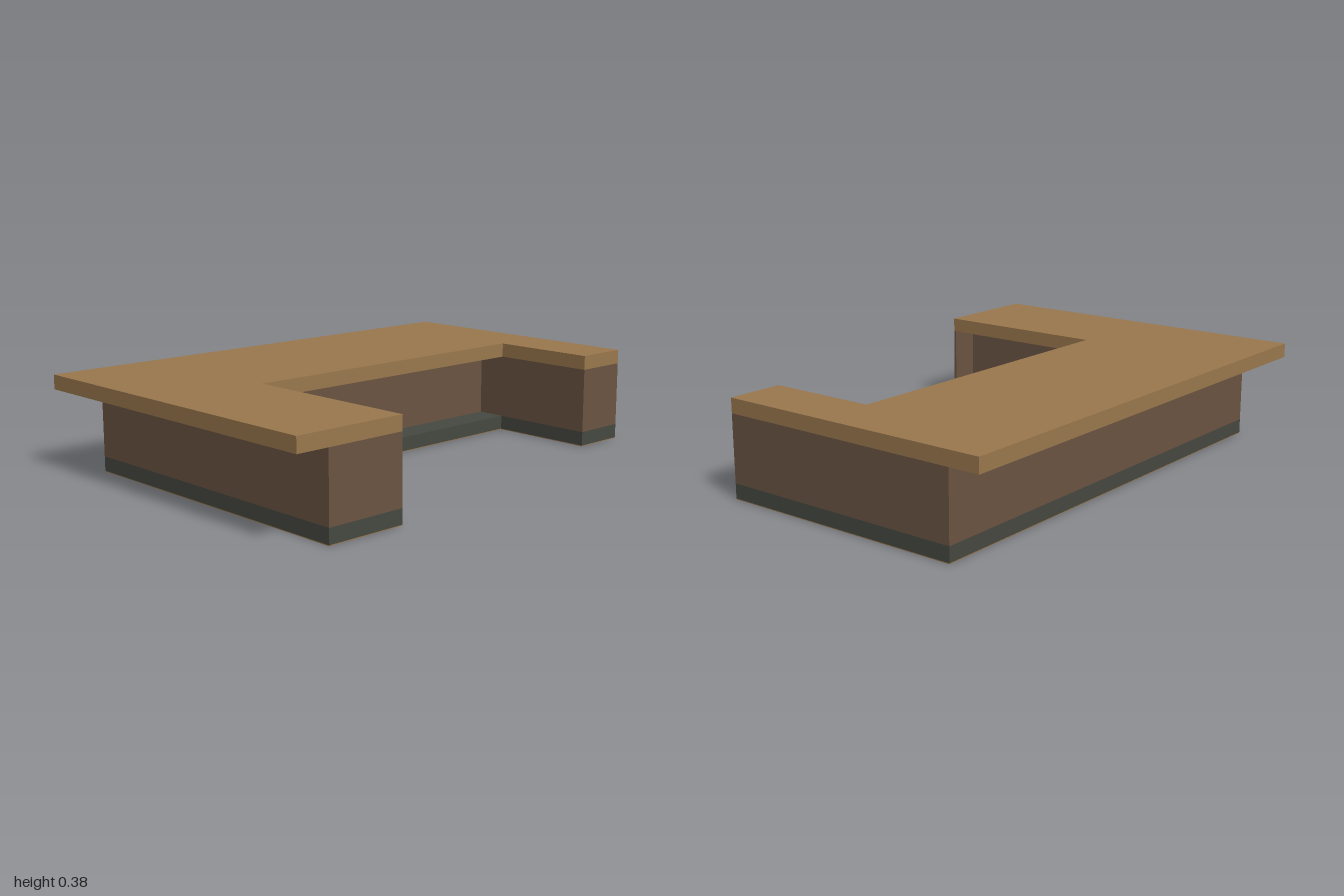
import * as THREE from 'three';

const wood = new THREE.MeshStandardMaterial({ color: 0x9a774d });
wood.name = 'wood';
const panel = new THREE.MeshStandardMaterial({ color: 0x6a5442 });
panel.name = 'brown panel';
const kick = new THREE.MeshStandardMaterial({ color: 0x464841 });
kick.name = 'dark kick base';

// Extrudes a floor plan of [x, z] points from y0 up to y1
function slab(name, plan, y0, y1, material) {
  const shape = new THREE.Shape(plan.map(([x, z]) => new THREE.Vector2(x, -z)));
  const geometry = new THREE.ExtrudeGeometry(shape, { depth: y1 - y0, bevelEnabled: false });
  geometry.rotateX(-Math.PI / 2);
  geometry.translate(0, y0, 0);
  const mesh = new THREE.Mesh(geometry, material);
  mesh.name = name;
  return mesh;
}

export function createModel() {
  const group = new THREE.Group();
  group.name = 'counter';

  const front = 0.704, shortFront = 0.42, inner = -0.02;
  const legX = -0.547, shortX = 0.775;
  const recess = 0.12;

  // U-shaped plan with one long and one short leg
  const uPlan = (left, back) => [
    [left, front], [legX, front], [legX, inner], [shortX, inner],
    [shortX, shortFront], [1, shortFront], [1, back], [left, back],
  ];

  // Cabinet walls: set back on the inner sides, with a corner post and a thin end panel
  const left = -0.87, back = -0.582;
  const bodyPlan = [
    [left, front], [legX, front], [legX, front - 0.01],
    [legX - recess, front - 0.01], [legX - recess, inner],
    [legX, inner], [legX, inner - recess],
    [shortX, inner - recess], [shortX, shortFront],
    [1, shortFront], [1, back], [left, back],
  ];

  group.add(
    slab('bottomPlate', uPlan(left, back), 0, 0.003, wood),
    slab('kickBase', uPlan(left, back), 0.003, 0.06, kick),
    slab('cabinetBody', bodyPlan, 0.06, 0.32, panel),
    slab('countertop', uPlan(-1, -front), 0.32, 0.377, wood),
  );
  return group;
}
